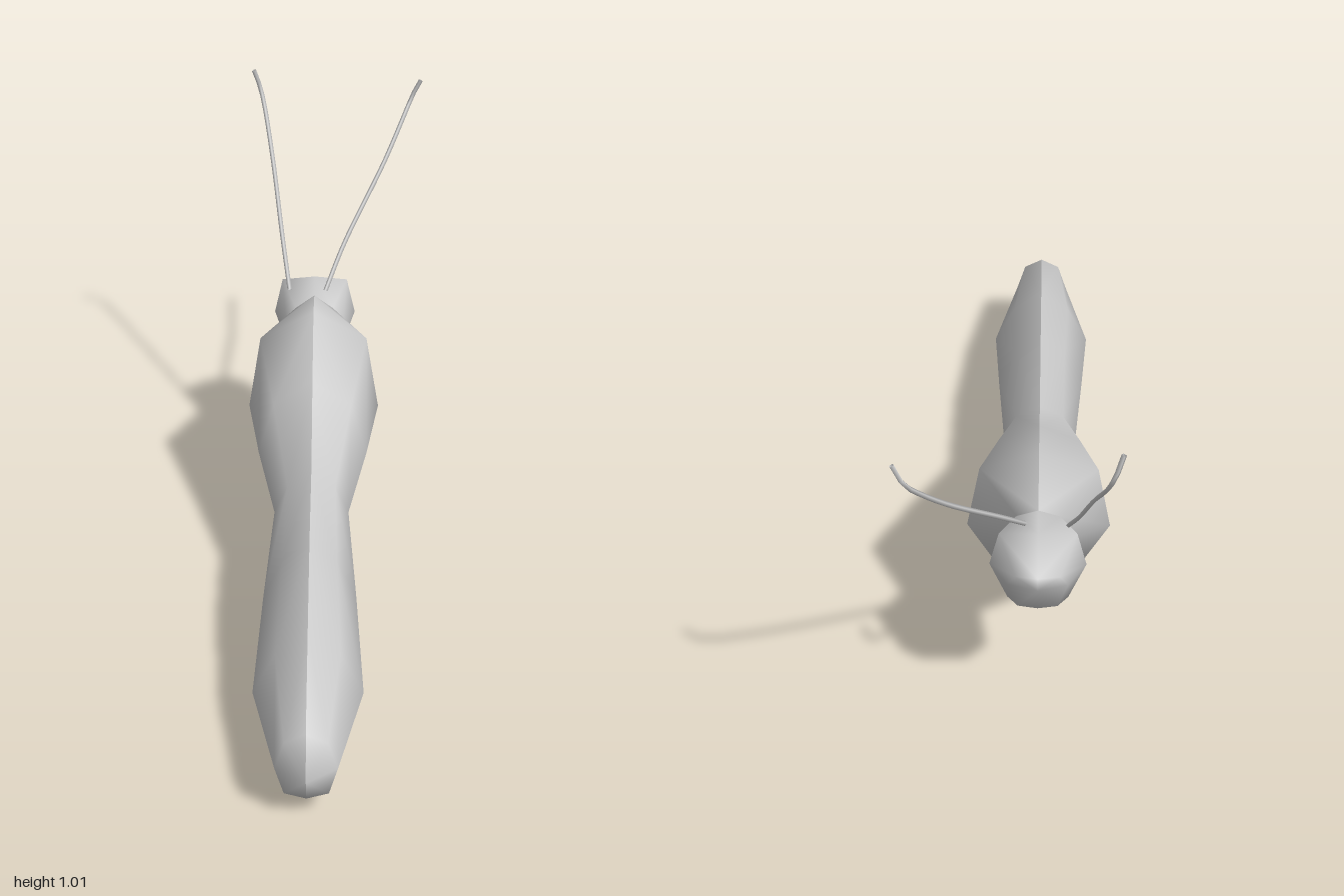
import * as THREE from 'three';
import { mergeVertices, mergeGeometries } from 'three/addons/utils/BufferGeometryUtils.js';

const CENTRE_X = -0.06;

// Half rings: [zTop, zBottom, yTop, [shoulder x,y], [side x,y], [belly x,y], yBottom]
const neck = [-0.565, -0.5, 0.53, [0.05, 0.5], [0.075, 0.42], [0.052, 0.335], 0.305];
const bodyRings = [
  [1.0, 1.0, 0.14, [0, 0.14], [0, 0.14], [0, 0.14], 0.14],
  [0.95, 0.95, 0.235, [0.048, 0.21], [0.07, 0.14], [0.05, 0.07], 0.055],
  [0.67, 0.69, 0.3, [0.075, 0.245], [0.128, 0.14], [0.067, 0.036], 0.005],
  [0.38, 0.39, 0.355, [0.065, 0.305], [0.112, 0.2], [0.065, 0.09], 0.06],
  [0.06, 0.11, 0.36, [0.06, 0.32], [0.093, 0.25], [0.06, 0.18], 0.155],
  [-0.18, -0.1, 0.48, [0.1, 0.42], [0.14, 0.29], [0.085, 0.16], 0.13],
  [-0.4, -0.3, 0.565, [0.14, 0.5], [0.172, 0.31], [0.105, 0.17], 0.135],
  neck,
];
const headRings = [
  neck,
  [-0.66, -0.63, 0.54, [0.088, 0.535], [0.11, 0.44], [0.07, 0.335], 0.31],
  [-0.755, -0.7, 0.49, [0.05, 0.485], [0.068, 0.45], [0.045, 0.375], 0.355],
  [-0.772, -0.772, 0.47, [0, 0.47], [0, 0.47], [0, 0.47], 0.47],
];

// Skin one half (side = 1 or -1) across the rings
function loftHalf(rings, side) {
  const pos = [];
  const index = [];
  rings.forEach(([zTop, zBottom, yTop, shoulder, flank, belly, yBottom], i) => {
    [[0, yTop], shoulder, flank, belly, [0, yBottom]].forEach(([x, y], j) => {
      pos.push(x * side, y, THREE.MathUtils.lerp(zTop, zBottom, j / 4));
      if (i === rings.length - 1 || j === 4) return;
      const a = i * 5 + j, b = a + 1, c = a + 5, d = a + 6;
      if (side > 0) index.push(a, b, c, b, d, c);
      else index.push(a, c, b, b, c, d);
    });
  });
  const geometry = new THREE.BufferGeometry();
  geometry.setAttribute('position', new THREE.Float32BufferAttribute(pos, 3));
  geometry.setIndex(index);
  return geometry;
}

function smooth(geometry) {
  const merged = mergeVertices(geometry, 1e-4);
  merged.computeVertexNormals();
  return merged;
}

export function createModel() {
  const model = new THREE.Group();
  const material = new THREE.MeshStandardMaterial({ color: 0xcccccc, side: THREE.DoubleSide });

  function add(name, geometry, x = 0) {
    const mesh = new THREE.Mesh(geometry, material);
    mesh.name = name;
    mesh.position.x = x;
    model.add(mesh);
  }

  // Abdomen and thorax: separate halves keep a sharp ridge on the centre line
  add('bodyLeft', smooth(loftHalf(bodyRings, 1)), CENTRE_X);
  add('bodyRight', smooth(loftHalf(bodyRings, -1)), CENTRE_X);

  // Head: both halves welded smooth
  const halves = [loftHalf(headRings, 1), loftHalf(headRings, -1)];
  add('head', smooth(mergeGeometries(halves)), CENTRE_X);

  // Antennae: thin curved feelers with a bent tip
  const feelers = {
    antennaRight: [[-0.128, 0.525, -0.61], [-0.15, 0.64, -0.72], [-0.177, 0.8, -0.86],
      [-0.205, 0.93, -0.975], [-0.216, 0.97, -0.99], [-0.23, 1.015, -0.982]],
    antennaLeft: [[-0.03, 0.525, -0.605], [0.02, 0.62, -0.7], [0.13, 0.79, -0.865],
      [0.19, 0.9, -0.96], [0.21, 0.94, -0.988], [0.232, 0.985, -0.985]],
  };
  for (const [name, points] of Object.entries(feelers)) {
    const curve = new THREE.CatmullRomCurve3(points.map((p) => new THREE.Vector3(...p)));
    add(name, new THREE.TubeGeometry(curve, 16, 0.006, 4));
  }
  return model;
}
